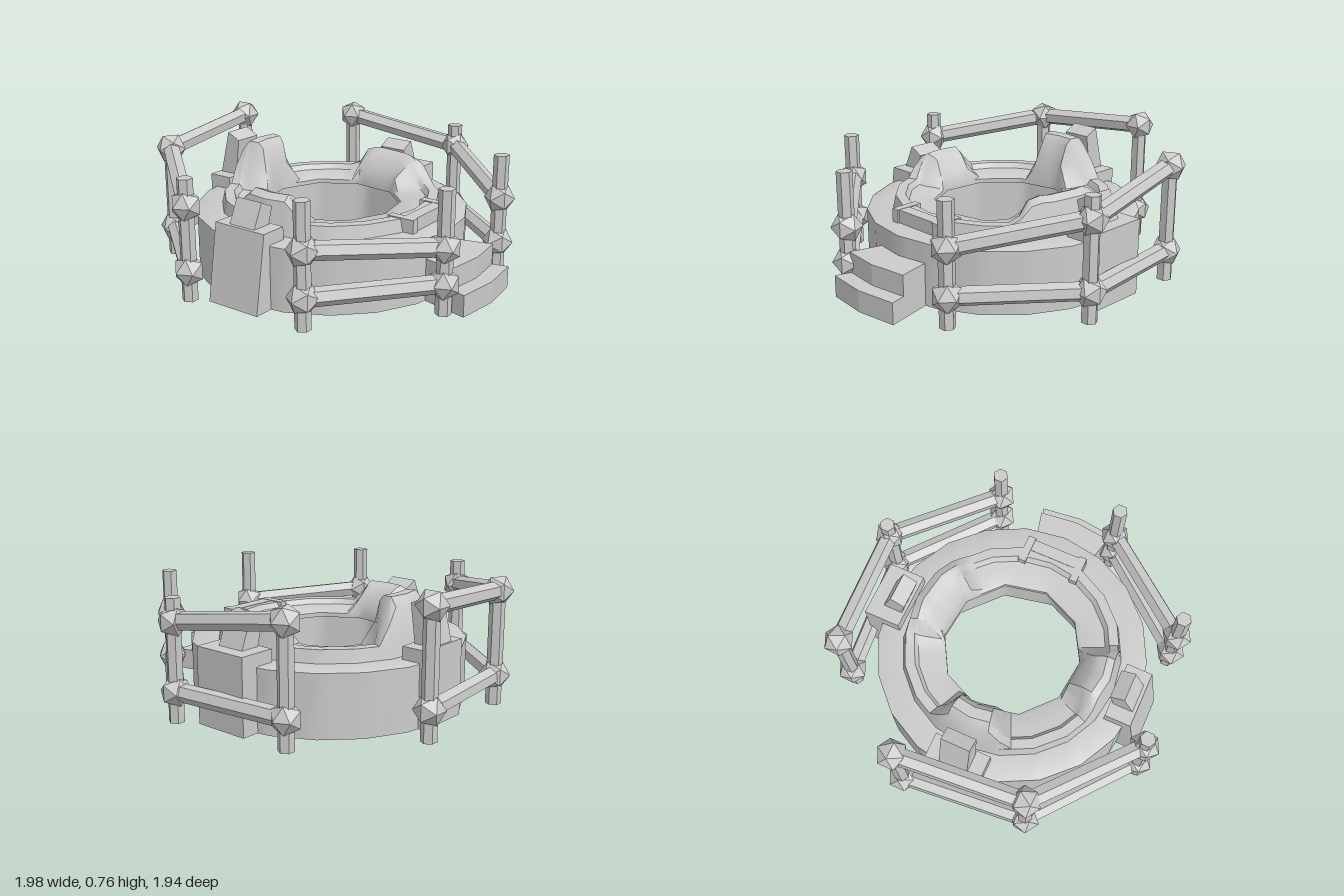
import * as THREE from 'three';
import { toCreasedNormals } from 'three/addons/utils/BufferGeometryUtils.js';

const CX = -0.03; // axis of the ring
const RAD = Math.PI / 180;

// radius of an n-sided polygon at angle a (degrees), first corner at offset
function polyR(n, R, a, offset = 0) {
  const step = 360 / n;
  const m = (((a - offset) % step) + step) % step - step / 2;
  return R * Math.cos(step / 2 * RAD) / Math.cos(m * RAD);
}

// rise from 0 to 1 between a0 and a1, hold, then fall between a2 and a3
function bump(a, a0, a1, a2, a3) {
  return THREE.MathUtils.smoothstep(a, a0, a1) * (1 - THREE.MathUtils.smoothstep(a, a2, a3));
}

// height of the three raised crests around the rim
function crest(a) {
  return 0.13 * bump(a, 66, 78, 102, 114)
    + 0.23 * bump(a, 156, 168, 192, 204)
    + 0.13 * bump(a, 249, 261, 297, 311);
}

// one closed cross-section of the ring at angle a; an overhanging lip narrows the bore
function section(a) {
  const h = crest(a), t = h / 0.23;
  const out = r => polyR(20, r, a);
  const hole = r => polyR(10, r, a, 6);
  return [
    [out(0.765), 0], [out(0.765), 0.345], [out(0.755), 0.35],
    [out(0.62), 0.35], [out(0.605), 0.42],
    [out(0.6 - 0.03 * t), 0.42 + 0.8 * h],
    [out(0.55 - 0.02 * t), 0.42 + h],
    [out(0.53 - 0.06 * t), 0.39 + 1.12 * h],
    [out(0.5 - 0.06 * t), 0.385 + h],
    [hole(0.41), 0.38 + 0.5 * h],
    [hole(0.39), 0.37], [hole(0.39), 0.345],
    [hole(0.477), 0.345], [hole(0.477), 0],
  ];
}

function ringGeometry(steps = 60) {
  const pos = [], index = [];
  let n = 0;
  for (let i = 0; i < steps; i++) {
    const a = i * 360 / steps, pts = section(a);
    n = pts.length;
    for (const [r, y] of pts) pos.push(CX + r * Math.cos(a * RAD), y, r * Math.sin(a * RAD));
  }
  for (let i = 0; i < steps; i++) for (let j = 0; j < n; j++) {
    const k = (i + 1) % steps, l = (j + 1) % n;
    const p = i * n + j, q = i * n + l, r = k * n + j, s = k * n + l;
    index.push(p, q, r, q, s, r);
  }
  const g = new THREE.BufferGeometry();
  g.setAttribute('position', new THREE.Float32BufferAttribute(pos, 3));
  g.setIndex(index);
  return toCreasedNormals(g, 38 * RAD);
}

// side profile in (outward, up), extruded to a width centred on 0
function wedge(points, width) {
  const shape = new THREE.Shape(points.map(p => new THREE.Vector2(...p)));
  return new THREE.ExtrudeGeometry(shape, { depth: width, bevelEnabled: false }).translate(0, 0, -width / 2);
}

export function createModel() {
  const model = new THREE.Group();
  const smooth = new THREE.MeshStandardMaterial({ color: 0xcccccc });
  const flat = new THREE.MeshStandardMaterial({ color: 0xcccccc, flatShading: true });
  const add = (name, geometry, parent = model, material = flat) => {
    const m = new THREE.Mesh(geometry, material);
    m.name = name;
    parent.add(m);
    return m;
  };

  add('ringBody', ringGeometry(), model, smooth);

  // buttress blocks with a leaning slab on top: front, back and right sides
  const sides = [
    ['front', -90, 0.85, 0.78, 0.55],
    ['back', 90, 0.84, 0.84, 0.57],
    ['right', 180, 0.775, 0.775, 0.67],
  ];
  for (const [name, turn, foot, top, slabTop] of sides) {
    const g = new THREE.Group();
    g.name = name + 'Buttress';
    g.position.x = CX;
    g.rotation.y = turn * RAD;
    add(name + 'Block', wedge([[0.62, 0], [foot, 0], [top, 0.42], [0.63, 0.42]], 0.325), g);
    add(name + 'Slab', wedge([[0.65, 0.41], [0.765, 0.41], [0.70, slabTop], [0.62, slabTop - 0.04]], 0.165), g);
    model.add(g);
  }

  // stair on the left side, each step a sector of a larger ring
  [[1.03, 0.12], [0.94, 0.235]].forEach(([r, h], i) => {
    const s = new THREE.Shape();
    const at = (rad, deg) => [rad * Math.cos(deg * RAD), rad * Math.sin(deg * RAD)];
    s.moveTo(...at(0.68, -13.5));
    for (const d of [-13.5, 0, 13.5]) s.lineTo(...at(r, d));
    s.lineTo(...at(0.68, 13.5));
    const g = new THREE.ExtrudeGeometry(s, { depth: h, bevelEnabled: false });
    add('stair' + (i + 1), g.rotateX(-Math.PI / 2).translate(CX, 0, 0));
  });

  // bracket set into the rim above the stair
  add('bracketBar', new THREE.BoxGeometry(0.07, 0.08, 0.32).translate(0.58, 0.383, 0));
  for (const z of [-0.165, 0.155])
    add('bracketEnd', new THREE.BoxGeometry(0.16, 0.08, 0.045).translate(0.545, 0.385, z));

  // railings: posts [x, z, height of the upper joint] in three chains
  const chains = [
    [[-0.91, -0.27, 0.69], [-0.84, 0.445, 0.635], [-0.29, 0.89, 0.52]],
    [[0.405, 0.82, 0.41], [0.865, 0.26, 0.36]],
    [[-0.465, -0.82, 0.645], [0.25, -0.89, 0.54], [0.795, -0.445, 0.42]],
  ];
  const rod = (name, a, b, r, parent) => {
    const m = add(name, new THREE.CylinderGeometry(r, r, a.distanceTo(b), 6), parent);
    m.position.copy(a).add(b).multiplyScalar(0.5);
    m.quaternion.setFromUnitVectors(new THREE.Vector3(0, 1, 0), b.clone().sub(a).normalize());
  };
  chains.forEach((posts, c) => {
    const g = new THREE.Group();
    g.name = 'railing' + (c + 1);
    model.add(g);
    posts.forEach(([x, z, y], i) => {
      rod('post', new THREE.Vector3(x, 0, z), new THREE.Vector3(x, 0.665, z), 0.043, g);
      for (const lvl of [y, 0.165]) {
        const joint = add('joint', new THREE.IcosahedronGeometry(0.086, 0), g);
        joint.position.set(x, lvl, z);
        joint.rotation.y = i + c;
      }
      if (i === 0) return;
      const [px, pz, py] = posts[i - 1];
      rod('upperRail', new THREE.Vector3(px, py, pz), new THREE.Vector3(x, y, z), 0.05, g);
      rod('lowerRail', new THREE.Vector3(px, 0.165, pz), new THREE.Vector3(x, 0.165, z), 0.05, g);
    });
  });

  return model;
}
